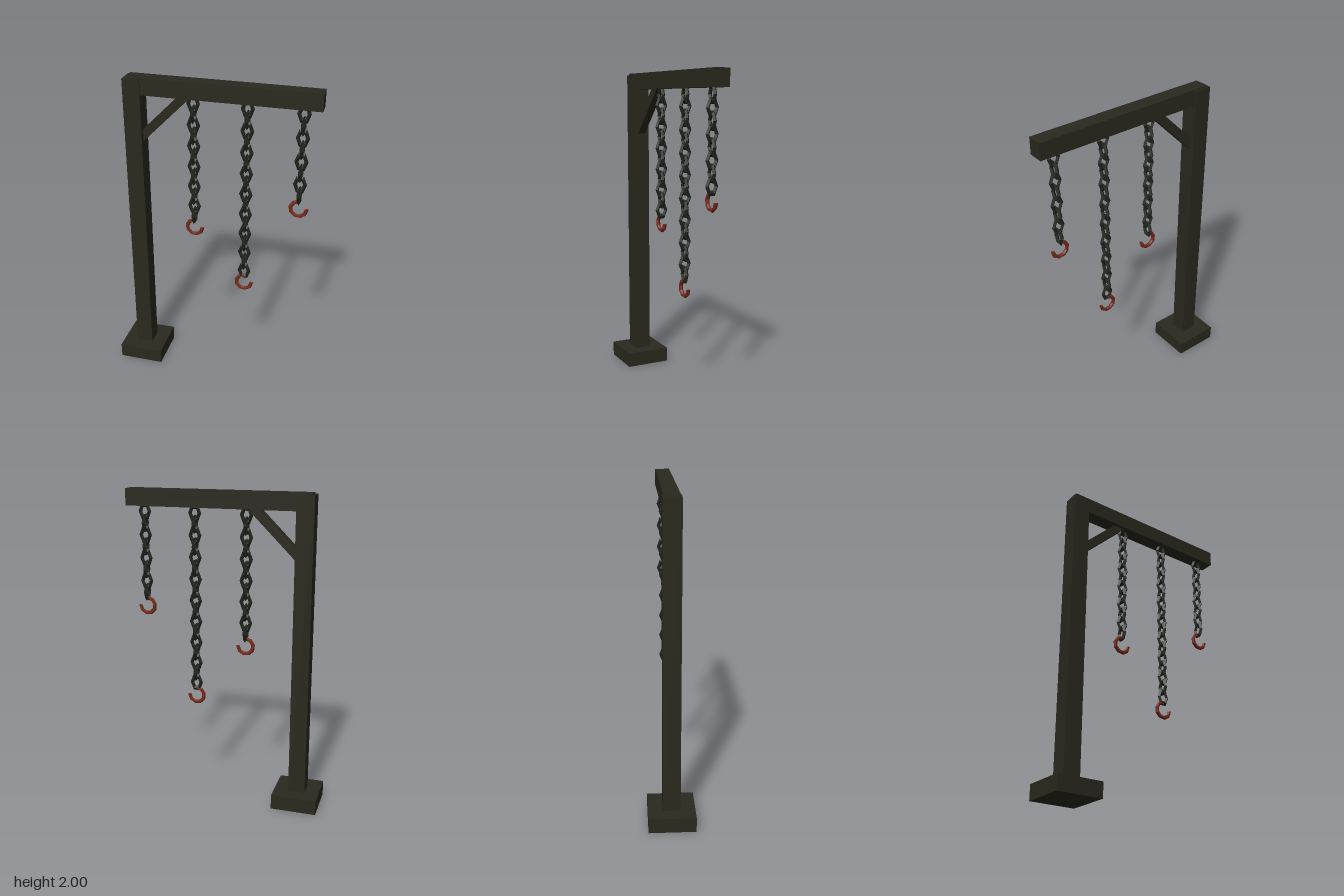
import * as THREE from 'three';

export function createModel() {
  const model = new THREE.Group();
  model.name = 'hookGallows';

  const material = (name, color) => {
    const m = new THREE.MeshStandardMaterial({ color, flatShading: true });
    m.name = name;
    return m;
  };
  const wood = material('darkWood', 0x29291e);
  const iron = material('blackIron', 0x22251d);
  const rust = material('rustyIron', 0x742a1b);

  const add = (parent, name, geometry, mat, x, y, z = 0) => {
    const mesh = new THREE.Mesh(geometry, mat);
    mesh.name = name;
    mesh.position.set(x, y, z);
    parent.add(mesh);
    return mesh;
  };

  // Timber frame
  add(model, 'base', new THREE.BoxGeometry(0.29, 0.095, 0.29), wood, -0.49, 0.0475);
  add(model, 'post', new THREE.BoxGeometry(0.108, 1.91, 0.108), wood, -0.492, 1.035);
  add(model, 'beam', new THREE.BoxGeometry(1.163, 0.104, 0.094), wood, 0.0535, 1.948);
  const brace = add(model, 'brace', new THREE.BoxGeometry(0.42, 0.054, 0.05), wood, -0.306, 1.77);
  brace.rotation.z = Math.PI / 4;

  // Six-sided chain link, stretched upright
  const linkGeometry = new THREE.TorusGeometry(0.03, 0.012, 4, 6);
  linkGeometry.scale(1, 1.52, 1);

  // Open hook: three quarters of a ring, with closed ends
  const hookRadius = 0.05, hookTube = 0.0125;
  const hookGeometry = new THREE.TorusGeometry(hookRadius, hookTube, 6, 7, Math.PI * 1.5);
  hookGeometry.rotateZ(Math.PI / 2);
  const capGeometry = new THREE.CircleGeometry(hookTube, 6);

  // Chains: links alternate by a quarter turn
  const chains = [
    { x: -0.128, links: 12, pitch: 0.067, hookY: 1.038 },
    { x: 0.2, links: 17, pitch: 0.0685, hookY: 0.676 },
    { x: 0.527, links: 8, pitch: 0.0733, hookY: 1.258 },
  ];
  chains.forEach(({ x, links, pitch, hookY }) => {
    const chain = new THREE.Group();
    chain.name = 'chain';
    chain.position.x = x;
    for (let i = 0; i < links; i++) {
      const link = add(chain, 'chainLink', linkGeometry, iron, 0, 1.86 - i * pitch);
      link.rotation.y = (i % 2) * Math.PI / 2;
    }
    const hook = new THREE.Group();
    hook.name = 'hook';
    hook.position.y = hookY;
    add(hook, 'hookRing', hookGeometry, rust, 0, 0);
    add(hook, 'hookTopEnd', capGeometry, rust, 0, hookRadius).rotation.y = Math.PI / 2;
    add(hook, 'hookTip', capGeometry, rust, hookRadius, 0).rotation.x = -Math.PI / 2;
    chain.add(hook);
    model.add(chain);
  });

  return model;
}
